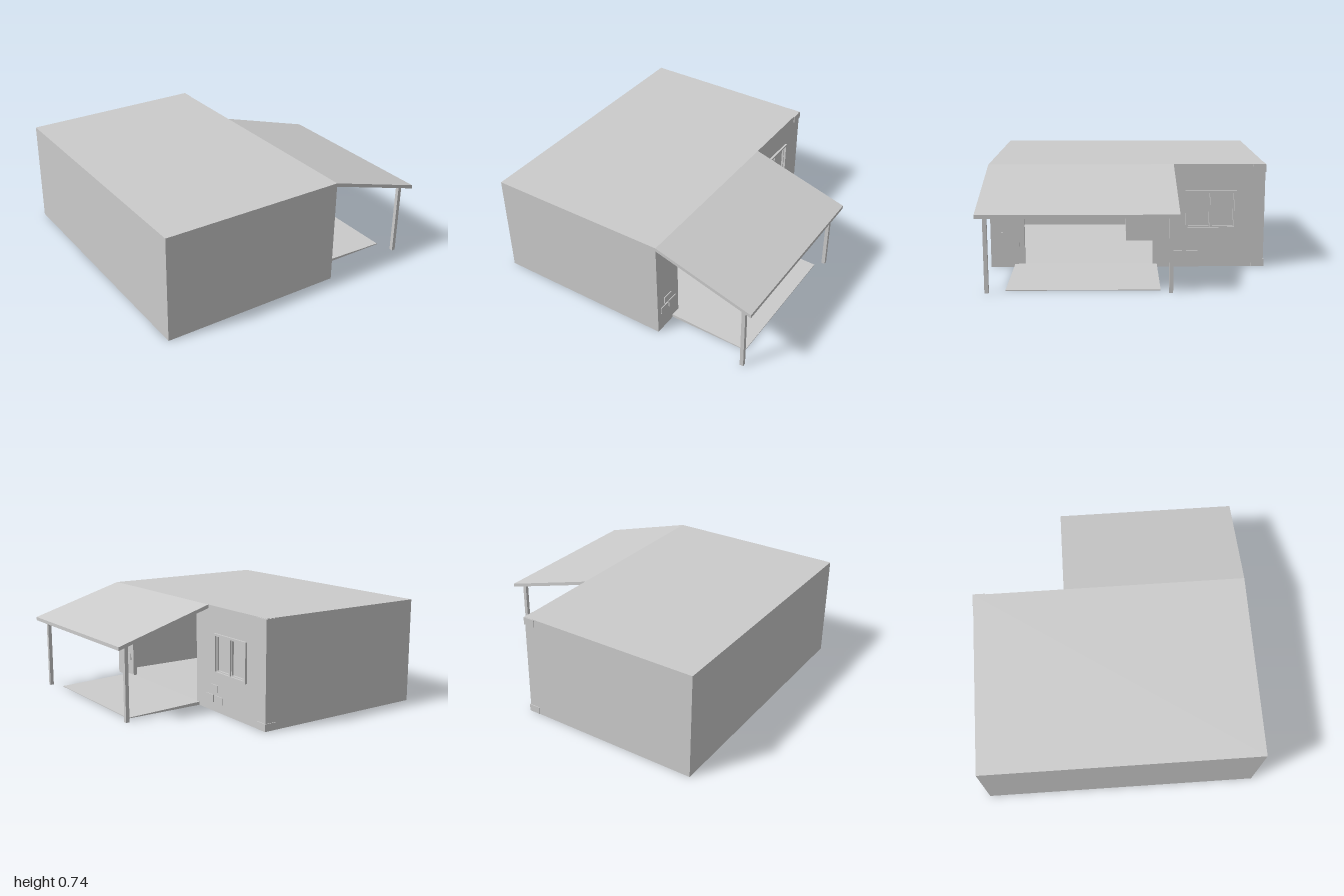
import * as THREE from 'three';

const material = new THREE.MeshStandardMaterial({ color: 0xcccccc, flatShading: true });

// Box given by its minimum and maximum on each axis
function box(parent, name, [x0, x1], [y0, y1], [z0, z1]) {
  const mesh = new THREE.Mesh(new THREE.BoxGeometry(x1 - x0, y1 - y0, z1 - z0), material);
  mesh.position.set((x0 + x1) / 2, (y0 + y1) / 2, (z0 + z1) / 2);
  mesh.name = name;
  parent.add(mesh);
  return mesh;
}

function polygon(points, Type = THREE.Shape) {
  return new Type(points.map(([x, y]) => new THREE.Vector2(x, y)));
}

const rect = (a, b, c, d) => [[a, c], [b, c], [b, d], [a, d]];

function extrude(parent, name, shape, depth) {
  const geometry = new THREE.ExtrudeGeometry(shape, { depth, bevelEnabled: false });
  const mesh = new THREE.Mesh(geometry, material);
  mesh.name = name;
  parent.add(mesh);
  return mesh;
}

// Panel facing +x, drawn in (-z, y)
function sidePanel(parent, name, outer, hole, x, depth) {
  const shape = polygon(outer);
  if (hole) shape.holes.push(polygon(hole, THREE.Path));
  const mesh = extrude(parent, name, shape, depth);
  mesh.rotation.y = Math.PI / 2;
  mesh.position.x = x;
  return mesh;
}

export function createModel() {
  const model = new THREE.Group();
  model.name = 'garage';
  const wallX = 0.3, end = 0.97, floorY = 0.02, ceilingY = 0.715, roofY = 0.74, t = 0.03;
  const height = [floorY, ceilingY];

  // Hollow building shell
  const building = new THREE.Group();
  building.name = 'building';
  model.add(building);
  box(building, 'floorSlab', [-1, wallX], [0, floorY], [-end, end]);
  box(building, 'flatRoof', [-1, wallX], [ceilingY, roofY], [-end, end]);
  box(building, 'frontWall', [-1, wallX], height, [end - t, end]);
  box(building, 'backWall', [-1, wallX], height, [-end, -end + t]);
  box(building, 'rightWall', [-1, -1 + t], height, [-end + t, end - t]);
  box(building, 'entranceWall', [wallX - t, wallX], height, [0.73, end - t]);
  box(building, 'innerRoom', [-1 + t, -0.4], height, [-end + t, 0]);

  // Wall with window opening
  sidePanel(building, 'windowWall', rect(0.18, end - t, floorY, ceilingY),
    rect(0.425, 0.755, 0.29, 0.54), wallX - t, t);

  // Two-pane window
  const win = new THREE.Group();
  win.name = 'window';
  model.add(win);
  sidePanel(win, 'windowFrame', rect(0.41, 0.77, 0.275, 0.555),
    rect(0.425, 0.755, 0.29, 0.54), 0.295, 0.02);
  for (const [a, b] of [[0.425, 0.585], [0.595, 0.755]]) {
    sidePanel(win, 'sash', rect(a, b, 0.29, 0.54),
      rect(a + 0.007, b - 0.007, 0.297, 0.533), 0.285, 0.015);
  }
  box(win, 'mullion', [0.28, 0.31], [0.29, 0.54], [-0.595, -0.585]);
  box(win, 'glass', [0.277, 0.285], [0.29, 0.54], [-0.755, -0.425]);

  // Sloping canopy
  const canopy = extrude(model, 'canopyRoof',
    polygon([[wallX, 0.715], [1, 0.505], [1, 0.53], [wallX, roofY]]), end + 0.325);
  canopy.position.z = -0.325;
  for (const z of [0.915, -0.275]) {
    box(model, 'canopyPost', [0.912, 0.938], [0, 0.53], [z - 0.013, z + 0.013]);
  }

  // Entrance ramp
  const ramp = extrude(model, 'ramp',
    polygon([[wallX, 0], [0.88, 0], [0.88, 0.005], [wallX, 0.023]]), 1.01);
  ramp.position.z = -0.21;

  // Exposed bricks, by centre in (y, z)
  const bricks = [[0.23, 0.855], [0.165, 0.895], [0.165, 0.805],
    [0.165, -0.402], [0.09, -0.35], [0.09, -0.46]];
  for (const [y, z] of bricks) {
    box(model, 'brick', [0.29, 0.306], [y - 0.026, y + 0.026], [z - 0.04, z + 0.04]);
  }

  // Corner stones at the back edge
  for (const [y0, y1] of [[0.002, 0.053], [0.685, 0.738]]) {
    box(model, 'cornerStone', [0.222, 0.306], [y0, y1], [-0.975, -0.885]);
  }
  return model;
}
